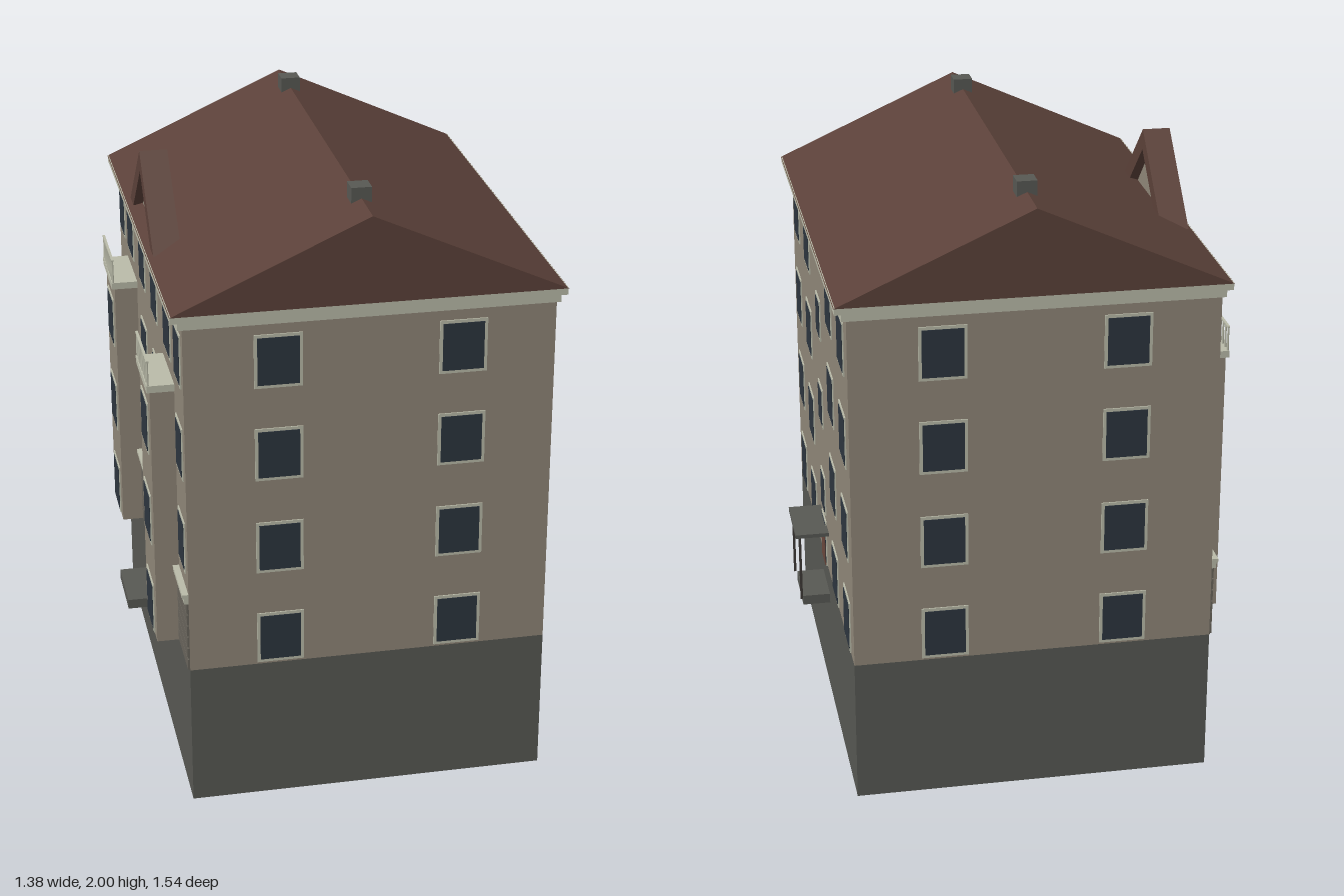
import * as THREE from 'three';

const mat = (name, hex) => {
  const m = new THREE.MeshStandardMaterial({ color: hex });
  m.name = name;
  return m;
};

export function createModel() {
  const wall = mat('plaster', 0x8f8678), stone = mat('plinthGrey', 0x575853);
  const roofMat = mat('roofBrown', 0x5b4139), glass = mat('windowGlass', 0x2c353e);
  const cream = mat('creamTrim', 0xbabba9), doorMat = mat('doorBrown', 0x6a473c);
  const band = mat('rusticStone', 0x68645b), iron = mat('darkIron', 0x3c3835);

  const house = new THREE.Group();
  house.name = 'apartmentHouse';

  const add = (name, geo, material, parent = house) => {
    const m = new THREE.Mesh(geo, material);
    m.name = name;
    parent.add(m);
    return m;
  };
  // Box given by its minimum and maximum on each axis
  const box = (name, material, x0, x1, y0, y1, z0, z1, parent = house) => {
    const m = add(name, new THREE.BoxGeometry(x1 - x0, y1 - y0, z1 - z0), material, parent);
    m.position.set((x0 + x1) / 2, (y0 + y1) / 2, (z0 + z1) / 2);
    return m;
  };
  const polygon = (pts) => new THREE.Shape(pts.map(([x, y]) => new THREE.Vector2(x, y)));
  const extrude = (shape, depth) =>
    new THREE.ExtrudeGeometry(shape, { depth, bevelEnabled: false });

  // Thin framed window on a wall facing +z before rotation
  const windowAt = (x, y, z, turn, w = 0.15, h = 0.175) => {
    const g = new THREE.Group();
    g.name = 'window';
    box('windowFrame', cream, -w / 2, w / 2, -h / 2, h / 2, -0.002, 0.004, g);
    box('windowPane', glass, -w / 2 + 0.01, w / 2 - 0.01, -h / 2 + 0.01, h / 2 - 0.01, 0, 0.006, g);
    g.position.set(x, y, z);
    g.rotation.y = turn;
    house.add(g);
  };

  const WX = 0.578, WZ = 0.763;
  const levels = [0.575, 0.895, 1.215, 1.525];
  const LEFT = -Math.PI / 2, RIGHT = Math.PI / 2;

  // Main walls
  box('plinth', stone, -WX, WX, 0, 0.48, -WZ, WZ);
  box('walls', wall, -WX, WX, 0.48, 1.65, -WZ, WZ);

  // Stepped cornice and gable roof
  box('lowerCornice', cream, -0.592, 0.592, 1.645, 1.667, -0.764, 0.764);
  box('upperCornice', cream, -0.613, 0.613, 1.667, 1.69, -0.765, 0.765);
  const roof = add('gableRoof', extrude(polygon([[-0.615, 1.688], [0.615, 1.688], [0, 1.965]]), 1.532), roofMat);
  roof.position.z = -0.766;
  for (const z of [-0.575, 0.575]) box('chimney', stone, -0.032, 0.032, 1.9, 2, z - 0.032, z + 0.032);

  // End wall windows
  for (const y of levels)
    for (const x of [-0.287, 0.287]) {
      windowAt(x, y, WZ, 0);
      windowAt(x, y, -WZ, Math.PI);
    }

  // Entrance side windows, with the staircase column in the middle
  for (const y of levels)
    for (const z of [-0.615, -0.305, 0.305, 0.615]) windowAt(WX, y, z, RIGHT);
  for (const y of [0.74, 1.06, 1.375]) windowAt(WX, y, 0, RIGHT, 0.112, 0.14);

  // Entrance door, step and canopy
  windowAt(WX, 0.562, 0, RIGHT, 0.112, 0.165);
  box('door', doorMat, WX, WX + 0.008, 0.48, 0.59, -0.046, 0.046);
  box('entranceStep', stone, WX, 0.67, 0.36, 0.393, -0.095, 0.095);
  box('canopy', stone, WX, 0.69, 0.62, 0.633, -0.113, 0.113);
  for (const z of [-0.105, 0.105]) box('canopyPost', iron, 0.672, 0.68, 0.39, 0.62, z - 0.004, z + 0.004);

  // Rusticated band on the garden side, in courses with grooves
  const courses = 6, step = 0.24 / courses;
  for (let i = 0; i < courses; i++) {
    const y = 0.48 + i * step;
    box('stoneCourse', band, -0.585, -WX, y + 0.004, y + step, -WZ, WZ);
  }
  box('bandBacking', band, -0.58, -WX, 0.48, 0.72, -WZ, WZ);
  box('bandCornice', cream, -0.592, -WX, 0.72, 0.74, -0.764, 0.764);
  box('bandCorniceTop', cream, -0.598, -WX, 0.74, 0.753, -0.765, 0.765);

  // Arch of separate stones above the garden step
  for (let i = 0; i < 9; i++) {
    const a = (i / 8) * Math.PI;
    const s = add('archStone', new THREE.BoxGeometry(0.014, 0.026, 0.026), cream);
    s.position.set(-0.586, 0.57 + 0.09 * Math.sin(a), 0.09 * Math.cos(a));
    s.rotation.x = -a;
  }
  box('gardenStep', stone, -0.695, -WX, 0.36, 0.393, -0.112, 0.112);

  // Garden side windows
  for (const s of [-1, 1]) {
    for (const y of levels.slice(1)) {
      windowAt(-WX, y, s * 0.145, LEFT, 0.14);
      windowAt(-WX, y, s * 0.66, LEFT, 0.13);
    }
    windowAt(-WX, levels[3], s * 0.44, LEFT);
  }

  // Bays with a balcony on top
  for (const c of [-0.44, 0.44]) {
    box('bay', wall, -0.655, -WX, 0.48, 1.365, c - 0.12, c + 0.12);
    box('balconySlab', cream, -0.665, -WX, 1.362, 1.385, c - 0.126, c + 0.126);
    for (const y of levels.slice(0, 3)) windowAt(-0.655, y, c, LEFT);
    for (let i = 0; i < 9; i++) {
      const b = add('baluster', new THREE.CylinderGeometry(0.003, 0.004, 0.085, 6), cream);
      b.position.set(-0.66, 1.425, c - 0.12 + i * 0.03);
    }
    box('balconyRail', cream, -0.664, -0.656, 1.462, 1.468, c - 0.125, c + 0.125);
  }

  // Dormer: pitched frame with a recessed gable wall and round window
  const frame = polygon([[-0.28, 1.7], [-0.205, 1.7], [0, 1.887], [0.205, 1.7], [0.28, 1.7], [0, 1.955]]);
  const dormer = add('dormerRoof', extrude(frame, 0.09), roofMat);
  dormer.rotation.y = LEFT;
  dormer.position.x = -0.505;
  const gable = add('dormerWall', extrude(polygon([[-0.21, 1.69], [0.21, 1.69], [0, 1.89]]), 0.03), wall);
  gable.rotation.y = LEFT;
  gable.position.x = -0.535;
  const eye = add('roundWindow', new THREE.CylinderGeometry(0.05, 0.05, 0.008, 24), glass);
  eye.rotation.z = Math.PI / 2;
  eye.position.set(-0.567, 1.78, 0);

  return house;
}
